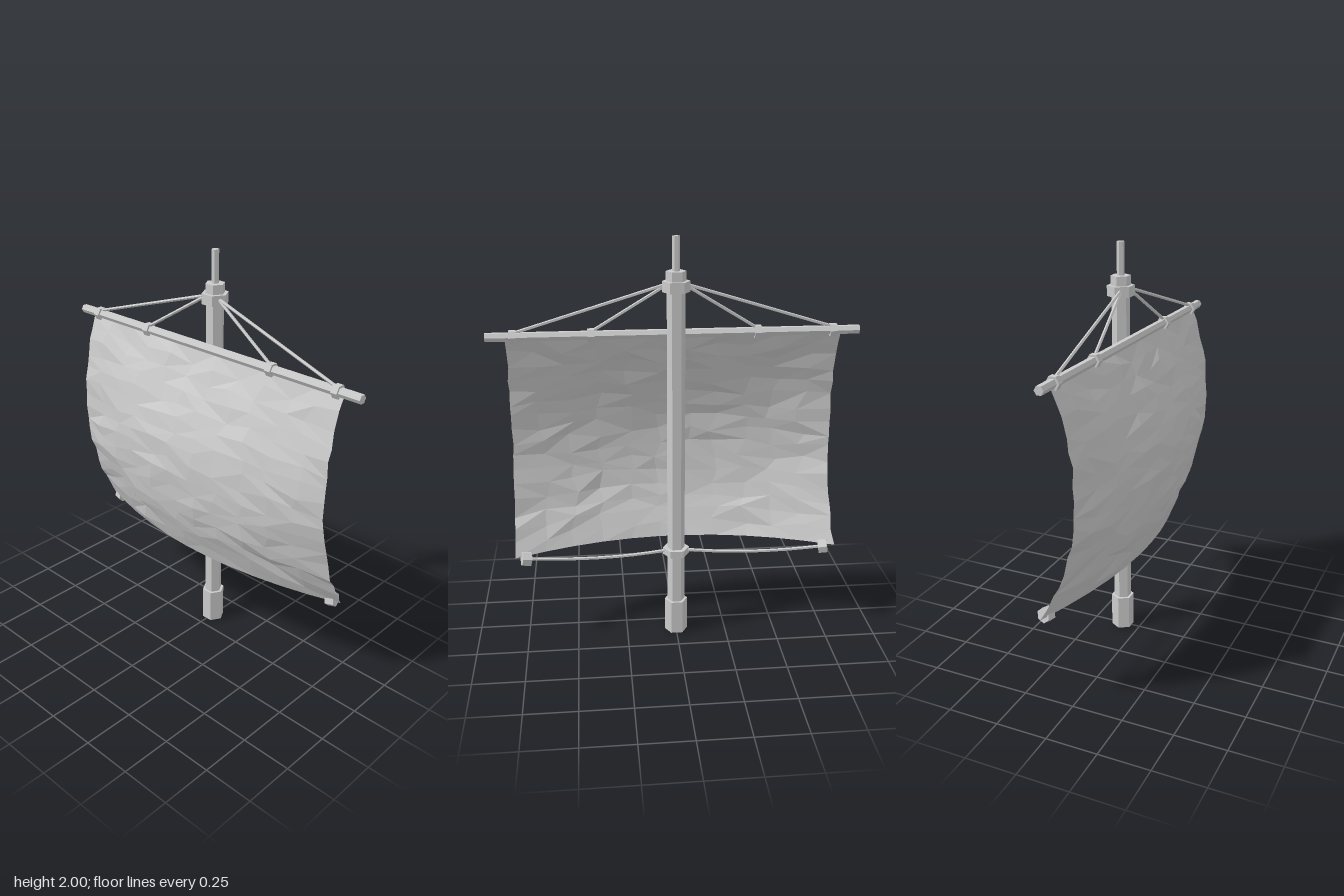
import * as THREE from 'three';

const mat = new THREE.MeshStandardMaterial({ color: 0xcccccc, flatShading: true });
const clothMat = new THREE.MeshStandardMaterial({ color: 0xcccccc, flatShading: true, side: THREE.DoubleSide });
const MAST_Z = -0.095, YARD_Y = 1.545, YARD_Z = -0.04;
const V = (x, y, z) => new THREE.Vector3(x, y, z);

function seeded(seed) {
  return () => ((seed = (seed * 16807) % 2147483647) / 2147483647) * 2 - 1;
}

export function createModel() {
  const root = new THREE.Group();
  const add = (name, geo, material = mat) => {
    const mesh = new THREE.Mesh(geo, material);
    mesh.name = name;
    root.add(mesh);
    return mesh;
  };
  // Upright hexagonal prism on the mast axis, corners towards +x and -x
  const post = (name, r, y0, y1) => {
    const geo = new THREE.CylinderGeometry(r, r, y1 - y0, 6).rotateY(Math.PI / 6);
    add(name, geo).position.set(0, (y0 + y1) / 2, MAST_Z);
  };
  // Hexagonal prism lying along x
  const bar = (name, r, len, x, y, z) => {
    const geo = new THREE.CylinderGeometry(r, r, len, 6).rotateZ(Math.PI / 2);
    const mesh = add(name, geo);
    mesh.position.set(x, y, z);
    return mesh;
  };
  const rope = (name, points, r, segments) =>
    add(name, new THREE.TubeGeometry(new THREE.CatmullRomCurve3(points), segments, r, 5));

  // Mast with its collars
  post('mast', 0.043, 0.1, 1.8);
  post('topCollar', 0.065, 1.75, 1.8);
  post('mastCap', 0.047, 1.8, 1.845);
  post('topPole', 0.018, 1.84, 2);
  post('lowerCollar', 0.065, 0.43, 0.465);

  // Foot socket, hollow underneath
  const footProfile = [[0, 0.06], [0.036, 0.06], [0.036, 0], [0.057, 0], [0.057, 0.175], [0, 0.175]];
  const foot = new THREE.LatheGeometry(footProfile.map(([r, y]) => new THREE.Vector2(r, y)), 6);
  add('mastFoot', foot.rotateY(Math.PI / 6)).position.z = MAST_Z;

  // Yard
  bar('yard', 0.022, 1.75, 0, YARD_Y, YARD_Z);

  for (const s of [-1, 1]) {
    // Yard clamps and their stays to the mast head
    for (const x of [0.39, 0.75]) {
      bar('yardClamp', 0.033, 0.032, s * x, YARD_Y, YARD_Z);
      rope('stay', [V(s * 0.03, 1.785, -0.075), V(s * x, 1.56, YARD_Z)], 0.008, 1);
    }
    // Sail corner clamps and sagging foot ropes
    bar('cornerClamp', 0.036, 0.045, s * 0.74, 0.45, -0.125).rotation.set(0.3, s * 0.25, s * 0.1);
    rope('footRope', [V(s * 0.04, 0.452, -0.1), V(s * 0.22, 0.435, -0.105),
      V(s * 0.4, 0.43, -0.11), V(s * 0.58, 0.436, -0.117), V(s * 0.74, 0.45, -0.125)], 0.008, 8);
  }

  add('sail', sailGeometry(), clothMat);
  return root;
}

// Billowing sail: blend of a middle and an edge profile, with small creases
function sailGeometry() {
  const profile = (pts) => new THREE.CatmullRomCurve3(pts.map(([y, z]) => V(0, y, z)));
  const middle = profile([[1.53, -0.035], [1.4, 0.025], [1.25, 0.09], [1.1, 0.136],
    [0.93, 0.15], [0.78, 0.138], [0.6, 0.087], [0.465, 0.035]]);
  const edge = profile([[1.53, -0.035], [1.4, 0.008], [1.25, 0.042], [1.1, 0.055],
    [0.9, 0.044], [0.75, 0.015], [0.6, -0.045], [0.452, -0.122]]);
  const cols = 11, rows = 16, rand = seeded(4711);
  const pos = [], index = [];
  for (let j = 0; j <= rows; j++) {
    const a = middle.getPointAt(j / rows), b = edge.getPointAt(j / rows);
    for (let i = 0; i <= cols; i++) {
      const u = (i / cols) * 2 - 1, inRow = j > 0 && j < rows ? 1 : 0;
      const inCol = i > 0 && i < cols ? 1 : 0;
      const p = a.clone().lerp(b, u * u);
      const x = u * (0.785 + 0.012 * (j / rows) ** 6);
      pos.push(x + rand() * (inCol ? 0.03 * inRow : 0.005),
        p.y + rand() * 0.018 * inRow, p.z + rand() * 0.006 * inRow);
    }
  }
  for (let j = 0; j < rows; j++) {
    for (let i = 0; i < cols; i++) {
      const a = j * (cols + 1) + i, b = a + 1, c = a + cols + 1, d = c + 1;
      if (rand() > 0) index.push(a, c, b, b, c, d);
      else index.push(a, c, d, a, d, b);
    }
  }
  const geo = new THREE.BufferGeometry();
  geo.setAttribute('position', new THREE.Float32BufferAttribute(pos, 3));
  geo.setIndex(index);
  geo.computeVertexNormals();
  return geo;
}
